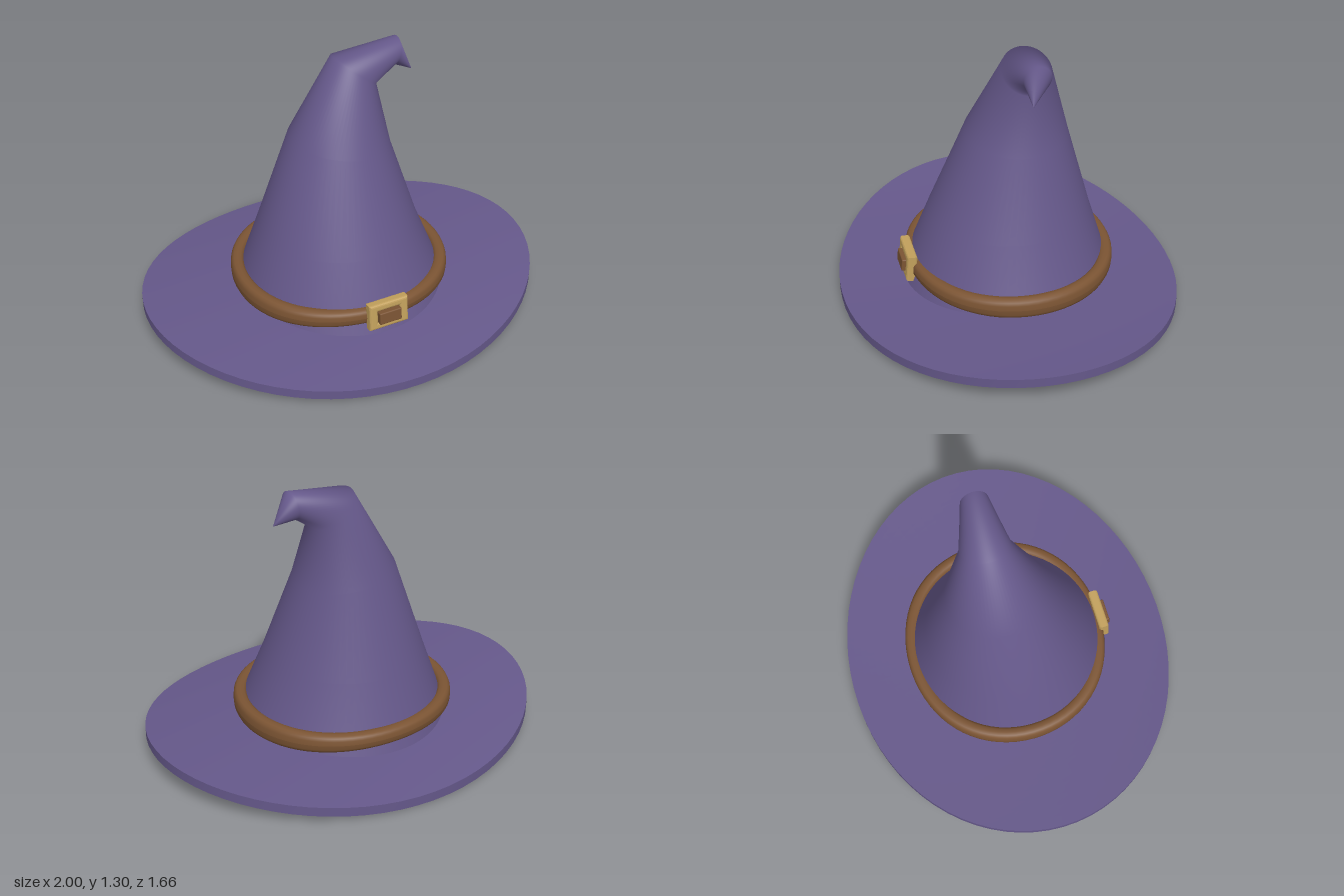
import * as THREE from 'three';
import { toCreasedNormals } from 'three/addons/utils/BufferGeometryUtils.js';
import { RoundedBoxGeometry } from 'three/addons/geometries/RoundedBoxGeometry.js';

const SIDES = 72;
const cloth = new THREE.MeshStandardMaterial({ color: 0x65588a, side: THREE.DoubleSide });
const leather = new THREE.MeshStandardMaterial({ color: 0x7b5433 });
const brass = new THREE.MeshStandardMaterial({ color: 0xc2a05c });

// Skin a stack of rings; point(ring, cos, sin) gives each corner
function loft(rings, point) {
  const pos = [], index = [];
  rings.forEach((ring, i) => {
    for (let j = 0; j < SIDES; j++) {
      const t = (j / SIDES) * Math.PI * 2;
      pos.push(...point(ring, Math.cos(t), Math.sin(t)));
      if (i === rings.length - 1) continue;
      const a = i * SIDES + j, b = i * SIDES + ((j + 1) % SIDES);
      index.push(a, a + SIDES, b, b, a + SIDES, b + SIDES);
    }
  });
  const g = new THREE.BufferGeometry();
  g.setAttribute('position', new THREE.Float32BufferAttribute(pos, 3));
  g.setIndex(index);
  g.computeVertexNormals();
  return g;
}

// Saddle curve of the brim: sides rise, front and back droop
const saddle = (x, z) => 0.065 + 0.035 * x * x - 0.065 * (z / 0.83) ** 2;

function part(parent, name, geometry, material) {
  const m = new THREE.Mesh(geometry, material);
  m.name = name;
  parent.add(m);
  return m;
}

export function createModel() {
  const hat = new THREE.Group();
  hat.name = 'pointedHat';

  // Brim: closed profile, bottom outward then top inward
  const steps = 10, thick = 0.045, profile = [];
  for (let i = 0; i <= steps; i++) profile.push([i / steps, 0]);
  for (let i = steps; i >= 0; i--) profile.push([i / steps, thick]);
  profile.push([0, 0]);
  const brim = loft(profile, ([s, h], c, n) => {
    const x = c * (0.49 + 0.51 * s), z = n * (0.49 + 0.34 * s);
    return [x, saddle(x, z) + h, z];
  });
  part(hat, 'brim', toCreasedNormals(brim, 0.8), cloth);

  // Crown: [left x, left y, right x, right y, centre z, half depth] for each bent ring
  const crownRings = [
    [-0.515, 0.085, 0.515, 0.085, 0, 0.515],
    [-0.475, 0.21, 0.47, 0.21, -0.005, 0.47],
    [-0.395, 0.42, 0.385, 0.42, -0.015, 0.395],
    [-0.225, 0.88, 0.265, 0.81, -0.045, 0.245],
    [0.005, 1.255, 0.21, 1.1, -0.07, 0.12],
    [0.33, 1.3, 0.305, 1.165, -0.06, 0.065],
    [0.39, 1.135, 0.39, 1.135, -0.02, 0],
  ];
  part(hat, 'crown', loft(crownRings, ([lx, ly, rx, ry, cz, d], c, n) => [
    (lx + rx) / 2 + (c * (rx - lx)) / 2,
    (ly + ry) / 2 + (c * (ry - ly)) / 2,
    cz + n * d,
  ]), cloth);

  // Panel closing the crown underneath
  part(hat, 'crownBase', loft([0, 0.25, 0.5], (r, c, n) =>
    [r * c, saddle(r * c, r * n) + 0.03, r * n]), cloth);

  // Band: rounded strap, slimmer at front and back
  const section = [];
  for (let i = 0; i <= 16; i++) section.push((i / 16) * Math.PI * 2);
  const soft = (v) => Math.sign(v) * Math.abs(v) ** 0.75;
  part(hat, 'band', loft(section, (p, c, n) => {
    const r = 0.505 + 0.035 * soft(Math.cos(p));
    const f = n * n;
    return [
      r * c,
      0.163 + 0.011 * f + (0.052 - 0.012 * f) * soft(Math.sin(p)),
      -0.012 + (r - 0.03 * f) * n,
    ];
  }), leather);

  // Buckle: bevelled frame with a leather tab through it
  const buckle = new THREE.Group();
  buckle.name = 'buckle';
  const rect = (Type, w, h) => new Type([
    [-w, -h], [w, -h], [w, h], [-w, h],
  ].map(([x, y]) => new THREE.Vector2(x, y)));
  const frame = rect(THREE.Shape, 0.09, 0.055);
  frame.holes.push(rect(THREE.Path, 0.07, 0.041));
  const frameGeo = new THREE.ExtrudeGeometry(frame, {
    depth: 0.026, bevelThickness: 0.012, bevelSize: 0.012, bevelSegments: 3,
  });
  frameGeo.translate(0, 0, -0.013);
  part(buckle, 'buckleFrame', frameGeo, brass);
  part(buckle, 'buckleTab', new RoundedBoxGeometry(0.115, 0.062, 0.06, 2, 0.006), leather)
    .position.set(0, -0.005, 0.012);
  buckle.position.set(-0.002, 0.183, 0.495);
  buckle.rotation.x = -0.1;
  hat.add(buckle);

  return hat;
}
